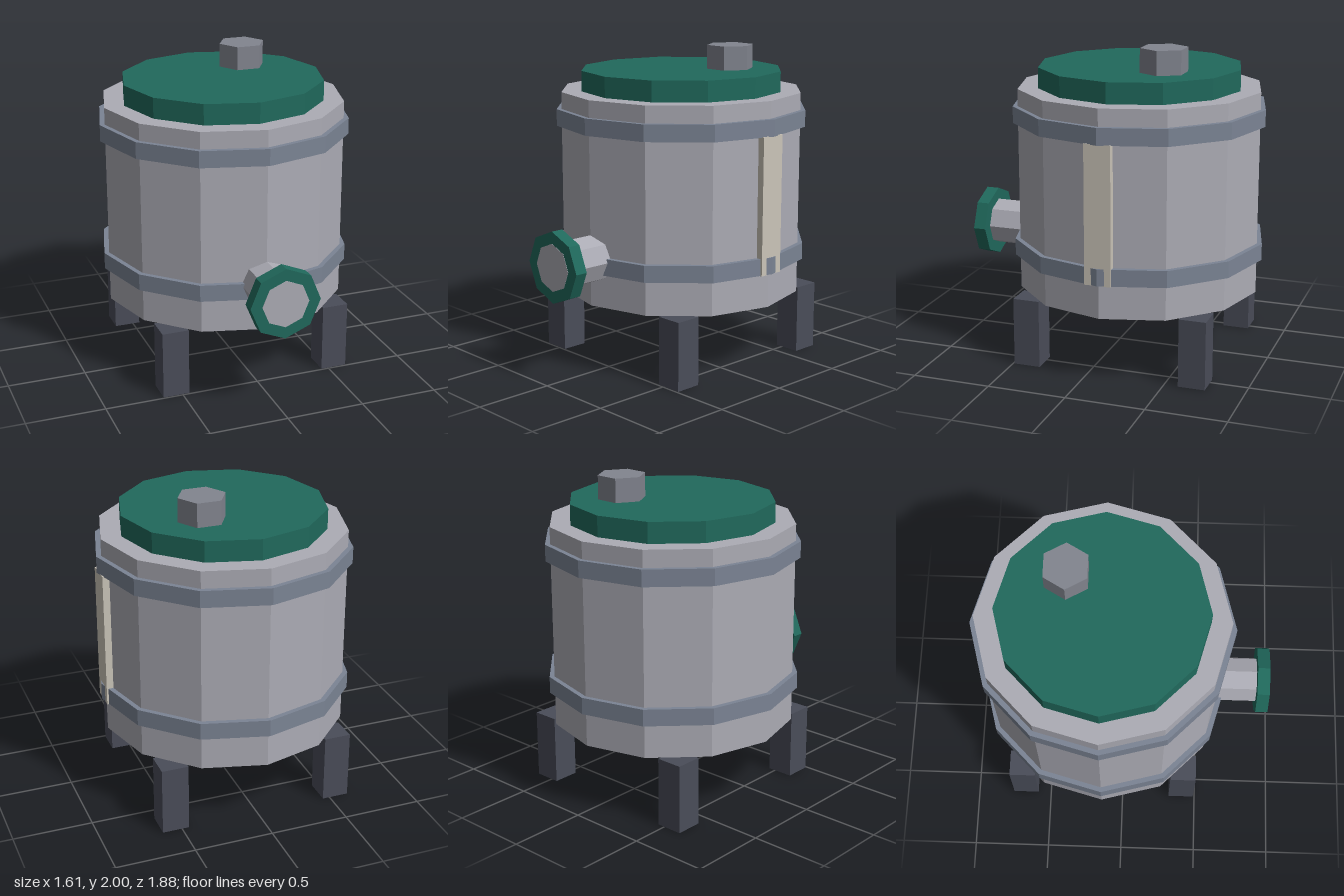
import * as THREE from 'three';

const flat = (name, color) => {
  const m = new THREE.MeshStandardMaterial({ color, flatShading: true });
  m.name = name;
  return m;
};

export function createModel() {
  const tank = new THREE.Group();
  tank.name = 'tank';
  const steel = flat('light steel', 0xacacb5);
  const bandSteel = flat('blue grey steel', 0x7b8494);
  const boltGrey = flat('cap grey', 0x82858f);
  const green = flat('green paint', 0x20695c);
  const dark = flat('dark iron', 0x4a4d59);
  const cream = flat('cream gauge', 0xcbc5b9);
  const axisZ = -0.134; // the drum stands behind the spout

  const add = (name, geometry, material, x, y, z) => {
    const mesh = new THREE.Mesh(geometry, material);
    mesh.name = name;
    mesh.position.set(x, y, z);
    tank.add(mesh);
    return mesh;
  };
  // Upright prism between two heights
  const drum = (name, r, y0, y1, sides, material, x = 0, z = axisZ) =>
    add(name, new THREE.CylinderGeometry(r, r, y1 - y0, sides), material, x, (y0 + y1) / 2, z);
  // Octagonal prism along z
  const spout = (name, r, z0, z1, material) =>
    add(name, new THREE.CylinderGeometry(r, r, z1 - z0, 8).rotateX(Math.PI / 2), material, 0, 0.735, (z0 + z1) / 2);

  // Drum, lid and hoops
  drum('body', 0.774, 0.435, 1.72, 12, steel);
  drum('lid', 0.645, 1.72, 1.85, 12, green);
  drum('lowerBand', 0.806, 0.652, 0.758, 12, bandSteel);
  drum('upperBand', 0.806, 1.508, 1.613, 12, bandSteel);

  // Hexagonal cap on the lid
  drum('lidCap', 0.15, 1.85, 2, 6, boltGrey, 0.215, -0.355).rotation.y = Math.PI / 2;

  // Outlet pipe with flange
  spout('outletPipe', 0.15, 0.5, 0.942, steel);
  spout('outletFlange', 0.225, 0.86, 0.94, green);

  // Level gauge strip on the left side
  add('levelGauge', new THREE.BoxGeometry(0.06, 0.862, 0.166), cream, 0.765, 1.081, axisZ);

  // Four square legs
  for (const sx of [-1, 1])
    for (const sz of [-1, 1])
      add('leg', new THREE.BoxGeometry(0.17, 0.435, 0.17), dark, sx * 0.539, 0.2175, axisZ + sz * 0.539);

  return tank;
}
